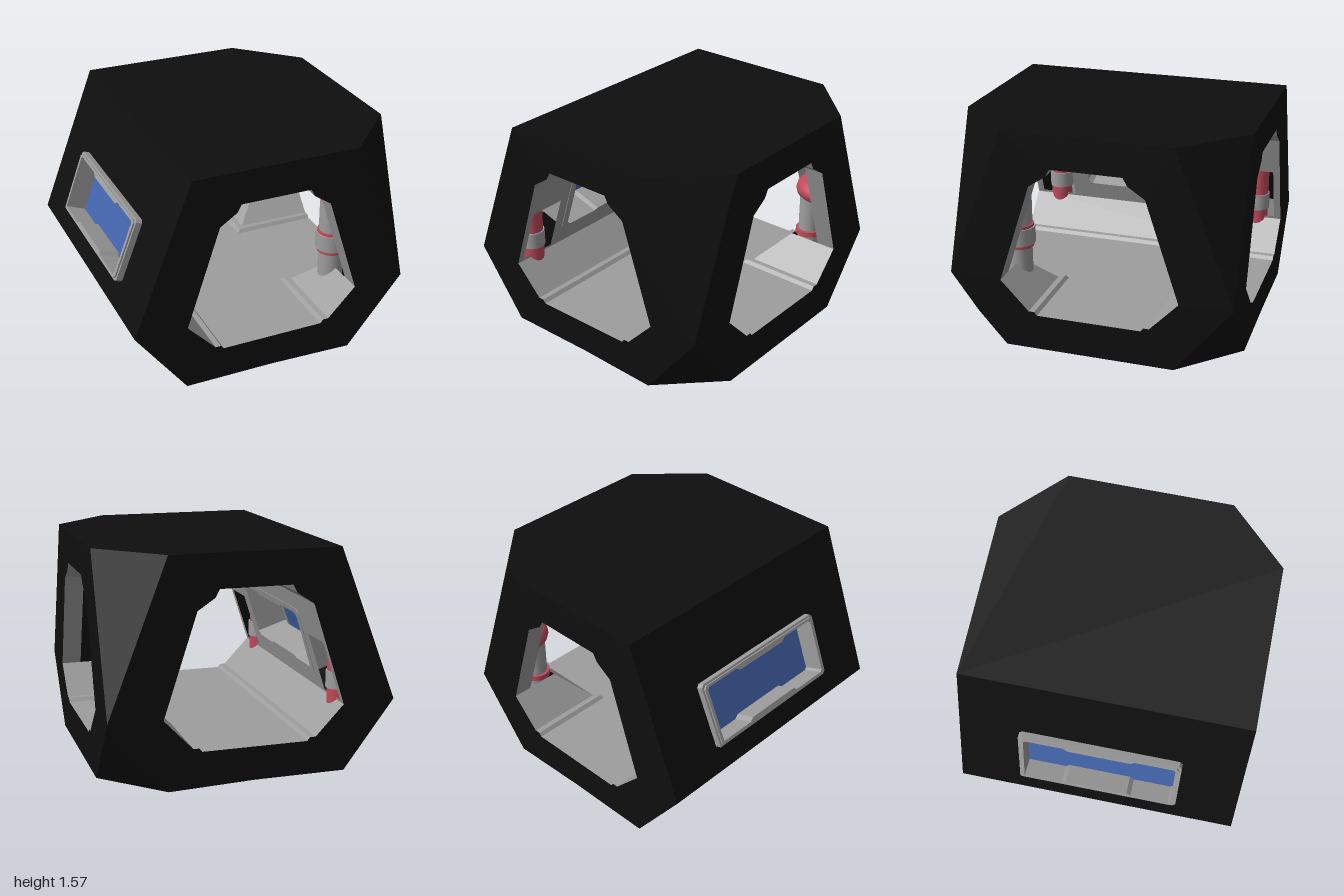
import * as THREE from 'three';

const mat = (name, color) => {
  const m = new THREE.MeshStandardMaterial({ color, side: THREE.DoubleSide });
  m.name = name;
  return m;
};

// Half profile of the passage: [half width, height], floor to ceiling
const PROFILE = [[0.37, 0.255], [0.39, 0.28], [0.43, 0.28], [0.63, 0.49], [0.4, 1.2], [0.28, 1.28], [0.25, 1.335]];
const SIDE = 3; // index of the tall side panel
const V = (x, y, z) => new THREE.Vector3(x, y, z);
const path = (Type, pts) => new Type(pts.map(([x, y]) => new THREE.Vector2(x, y)));
const rect = (u0, u1, v0, v1) => [[u0, v0], [u1, v0], [u1, v1], [u0, v1]];

// Flat polygons, each given by its corners
function polygons(list) {
  const pos = [];
  for (const p of list)
    for (let i = 1; i < p.length - 1; i++)
      for (const c of [p[0], p[i], p[i + 1]]) pos.push(...c);
  const g = new THREE.BufferGeometry();
  g.setAttribute('position', new THREE.Float32BufferAttribute(pos, 3));
  g.computeVertexNormals();
  return g;
}

// Plate with holes, or a prism when depth is given
function plate(outline, holes, depth = 0) {
  const s = path(THREE.Shape, outline);
  s.holes = holes.map(h => path(THREE.Path, h));
  return depth ? new THREE.ExtrudeGeometry(s, { depth, bevelEnabled: false }) : new THREE.ShapeGeometry(s);
}

// Window outline with a stepped middle and clipped corners
function windowLine(w, v0, v1, step, c) {
  const a = 0.22, b = 0.25;
  return [[-w + c, v0], [-b, v0], [-a, v0 + step], [a, v0 + step], [b, v0], [w - c, v0], [w, v0 + c],
    [w, v1 - c], [w - c, v1], [b, v1], [a, v1 - step], [-a, v1 - step], [-b, v1], [-w + c, v1], [-w, v1 - c]];
}

// Local axes on a leaning left wall: u = z, v = up the slope, n = outward
function wallMatrix(x0, y0, x1, y1) {
  const s = V(x1 - x0, y1 - y0, 0).normalize(), u = V(0, 0, 1);
  return new THREE.Matrix4().makeBasis(u, s, u.clone().cross(s)).setPosition(x0, y0, 0);
}

export function createModel() {
  const root = new THREE.Group();
  root.name = 'corridorJunction';
  const black = mat('shellBlack', 0x0e0e0e), grey = mat('panelGrey', 0x9e9e9e);
  const blue = mat('glassBlue', 0x4365ad), red = mat('pipeRed', 0xc04a5c);
  const add = (name, geo, material, parent = root) => {
    const m = new THREE.Mesh(geo, material);
    m.name = name;
    parent.add(m);
    return m;
  };

  // Outer shell: doorway faces
  const opening = [...PROFILE, ...PROFILE.map(([w, y]) => [-w, y]).reverse()];
  const endFace = [[-0.64, 0.02], [0, 0.02], [0.6, 0], [1, 0.5], [0.59, 1.57], [-0.59, 1.57], [-1, 0.5]];
  const sideFace = [[-0.6, 0], [0.6, 0], [1, 0.5], [0.59, 1.57], [-0.59, 1.57], [-1, 0.5]];
  add('frontDoorway', plate(endFace, [opening]).translate(0, 0, 1), black);
  add('backDoorway', plate(endFace, [opening]).rotateY(Math.PI).scale(-1, 1, 1).translate(0, 0, -1), black);
  add('sideDoorway', plate(sideFace, [opening]).rotateY(Math.PI / 2).translate(1, 0, 0), black);

  // Outer shell: roof, underside, lower left wall and corner facets
  add('roof', polygons([[[-0.59, 1.57, -1], [-0.59, 1.57, 1], [0.59, 1.57, 1], [1, 1.57, 0.59], [1, 1.57, -0.59], [0.59, 1.57, -1]]]), black);
  add('underside', polygons([
    [[-0.64, 0.02, -1], [0, 0.02, -1], [0, 0.02, 1], [-0.64, 0.02, 1]],
    [[0, 0.02, -1], [0.6, 0, -1], [0.6, 0, 1], [0, 0.02, 1]],
    [[0.6, 0, -1], [1, 0, -0.6], [1, 0, 0.6], [0.6, 0, 1]]]), black);
  add('lowerLeftWall', polygons([[[-0.64, 0.02, -1], [-0.64, 0.02, 1], [-1, 0.5, 1], [-1, 0.5, -1]]]), black);
  const front = [
    [[0.59, 1.57, 1], [1, 0.5, 1], [1, 1.57, 0.59]],
    [[0.6, 0, 1], [1, 0, 0.6], [1, 0.5, 1]]];
  const back = front.map(t => t.map(([x, y, z]) => [x, y, -z]).reverse());
  add('cornerFacets', polygons([...front, ...back]), black);

  // Outer window wall, frame and glass
  const outer = wallMatrix(-1, 0.5, -0.59, 1.57);
  add('upperWindowWall', plate(rect(-1, 1, 0, 1.146), [rect(-0.55, 0.55, 0.2, 0.64)]).applyMatrix4(outer), black);
  const frameHole = windowLine(0.535, 0.217, 0.622, 0.022, 0.015);
  add('windowFrame', plate(windowLine(0.575, 0.185, 0.655, 0, 0.02), [frameHole], 0.14)
    .translate(0, 0, -0.095).applyMatrix4(outer), grey);
  add('windowLip', plate(windowLine(0.56, 0.2, 0.64, 0, 0.02), [frameHole], 0.012)
    .translate(0, 0, 0.045).applyMatrix4(outer), grey);
  add('windowGlass', plate(rect(-0.565, 0.565, 0.19, 0.65), []).translate(0, 0, -0.09).applyMatrix4(outer), blue);

  // Inner window wall with pipe recesses near both ends
  const inner = wallMatrix(-0.63, 0.49, -0.4, 1.2);
  const recess = s => (s > 0 ? rect(0.68, 0.95, 0.02, 0.45) : rect(-0.95, -0.68, 0.02, 0.45));
  add('innerWindowWall', plate(rect(-1, 1, 0, 0.746), [rect(-0.57, 0.57, 0.145, 0.6), recess(1), recess(-1)])
    .applyMatrix4(inner), grey);
  add('innerWindowTrim', plate(windowLine(0.6, 0.13, 0.615, 0, 0.03), [windowLine(0.545, 0.15, 0.575, 0.015, 0.03)], 0.24)
    .translate(0, 0, -0.004).applyMatrix4(inner), grey);

  // Remaining passage walls: straight on the left, mitred round both corners
  const walls = [];
  for (let i = 0; i < PROFILE.length - 1; i++) {
    const [a, ya] = PROFILE[i], [b, yb] = PROFILE[i + 1];
    if (i !== SIDE) walls.push([[-a, ya, -1], [-a, ya, 1], [-b, yb, 1], [-b, yb, -1]]);
    const sa = i === SIDE ? 0.86 : a, sb = i === SIDE ? 0.86 : b; // open corner recess
    for (const s of [1, -1]) {
      walls.push([[sa, ya, s * a], [1, ya, s * a], [1, yb, s * b], [sb, yb, s * b]]);
      walls.push([[a, ya, s * sa], [a, ya, s], [b, yb, s], [b, yb, s * sb]]);
    }
  }
  add('passageWalls', polygons(walls), grey);

  // Floor and ceiling, T-shaped
  for (const [name, [w, y]] of [['floor', PROFILE[0]], ['ceiling', PROFILE[PROFILE.length - 1]]]) {
    add(name, polygons([
      [[-w, y, -1], [-w, y, 1], [w, y, 1], [w, y, -1]],
      [[w, y, -w], [w, y, w], [1, y, w], [1, y, -w]]]), grey);
  }

  // Upright pipes: stacks of [bottom, top, radius, material]
  const stack = (name, x, z, parts) => {
    const g = new THREE.Group();
    g.name = name;
    g.position.set(x, 0, z);
    root.add(g);
    for (const [y0, y1, r, m] of parts)
      add(m === red ? 'pipeRing' : 'pipeSection', new THREE.CylinderGeometry(r, r, y1 - y0, 16).translate(0, (y0 + y1) / 2, 0), m, g);
  };
  stack('frontCornerPipe', 0.635, 0.635, [[0.28, 0.6, 0.09, grey], [0.6, 0.625, 0.105, red], [0.625, 0.75, 0.115, grey],
    [0.75, 0.77, 0.105, red], [0.77, 1, 0.095, grey], [1, 1.25, 0.09, red]]);
  for (const s of [1, -1])
    stack('wallPipe', -0.67, s * 0.81, [[0.4, 0.56, 0.08, red], [0.56, 0.68, 0.09, grey], [0.68, 0.9, 0.08, red]]);

  // Pipe bending round the back corner
  const bend = new THREE.QuadraticBezierCurve3(V(0.84, 0.87, -0.66), V(0.64, 0.87, -0.64), V(0.66, 0.87, -0.84));
  add('backCornerElbow', new THREE.TubeGeometry(bend, 12, 0.075, 12), red);
  add('elbowEndSide', new THREE.CylinderGeometry(0.085, 0.085, 0.12, 16).rotateZ(Math.PI / 2).translate(0.88, 0.87, -0.665), grey);
  add('elbowEndBack', new THREE.CylinderGeometry(0.085, 0.085, 0.12, 16).rotateX(Math.PI / 2).translate(0.665, 0.87, -0.88), grey);
  stack('backCornerPipe', 0.72, -0.72, [[0.28, 0.5, 0.08, grey], [0.5, 0.54, 0.1, red], [0.54, 0.86, 0.08, grey]]);

  return root;
}
